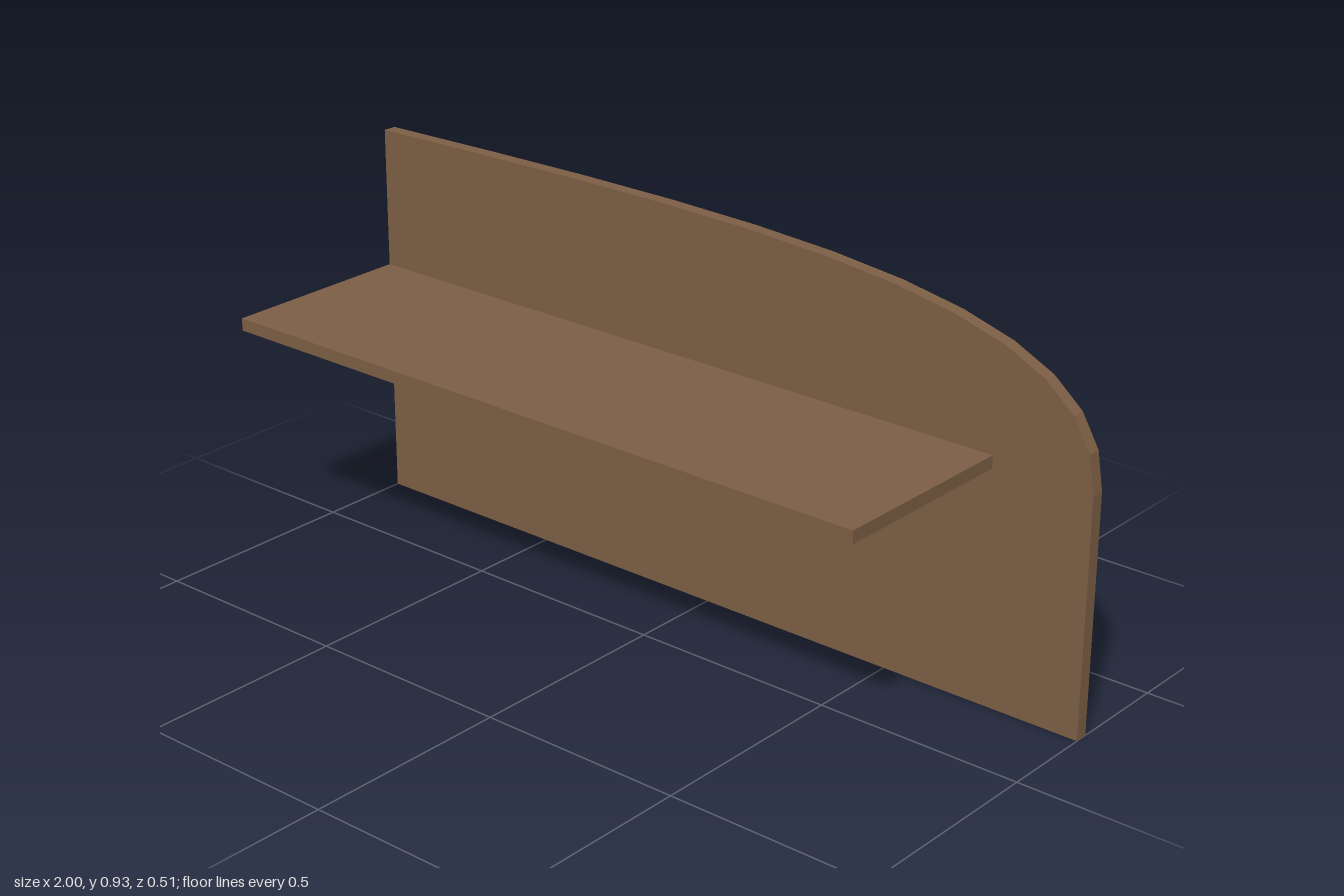
import * as THREE from 'three';

const wood = new THREE.MeshStandardMaterial({ color: 0x7d5e45, flatShading: true });
const metal = new THREE.MeshStandardMaterial({ color: 0x666666, flatShading: true });

function addMesh(parent, name, geometry, material) {
  const mesh = new THREE.Mesh(geometry, material);
  mesh.name = name;
  parent.add(mesh);
  return mesh;
}

export function createModel() {
  const model = new THREE.Group();
  model.name = 'wallShelf';

  // Upright panel with one swept top corner
  const panel = new THREE.Shape();
  panel.moveTo(-1, 0);
  panel.lineTo(1, 0);
  panel.lineTo(1, 0.56);
  panel.bezierCurveTo(1, 0.944, 0.31, 0.949, -1, 0.92);
  panel.closePath();
  const panelGeometry = new THREE.ExtrudeGeometry(panel, { depth: 0.032, bevelEnabled: false, curveSegments: 12 });
  addMesh(model, 'backPanel', panelGeometry, wood).position.z = -0.255;

  // Shelf board, flush with the panel's square end
  addMesh(model, 'shelfBoard', new THREE.BoxGeometry(1.755, 0.03, 0.478), wood).position.set(-0.1225, 0.567, 0.016);

  // Bent strap brackets: side profile in (z, y), extruded across the width
  const strap = new THREE.Shape([
    [0.05, 0.552], [0.05, 0.545], [0.003, 0.545], [-0.215, 0.325], [-0.215, 0.28],
    [-0.223, 0.28], [-0.223, 0.336], [-0.006, 0.552],
  ].map(([z, y]) => new THREE.Vector2(z, y)));
  const width = 0.064;
  const strapGeometry = new THREE.ExtrudeGeometry(strap, { depth: width, bevelEnabled: false });
  strapGeometry.translate(0, 0, -width / 2).rotateY(-Math.PI / 2);
  for (const [name, x] of [['rightBracket', -0.57], ['leftBracket', 0.182]]) {
    addMesh(model, name, strapGeometry, metal).position.x = x;
  }

  return model;
}
